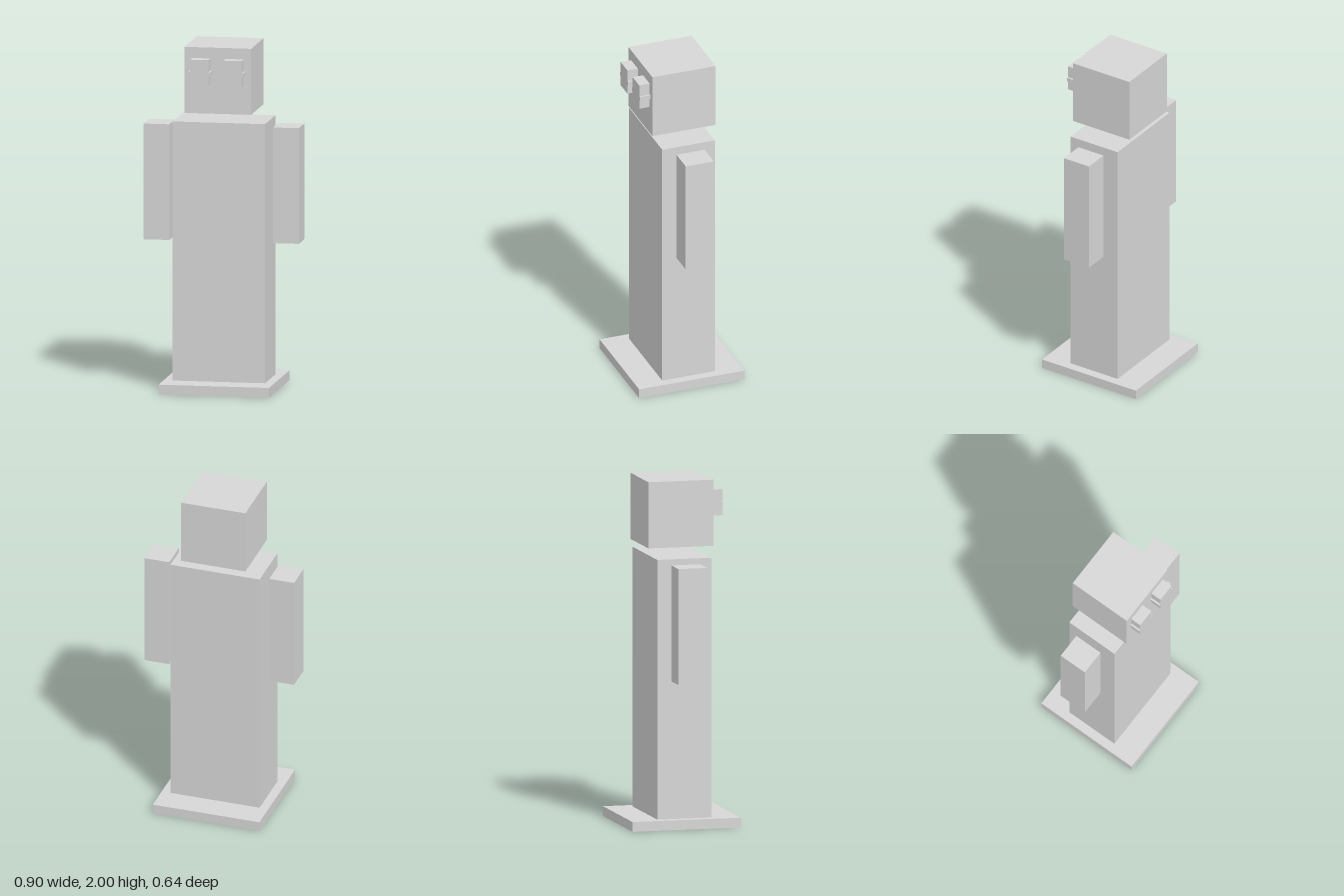
import * as THREE from 'three';

const grey = new THREE.MeshStandardMaterial({ color: 0xd6d6d6 });
grey.name = 'lightGrey';

// Axis-aligned block given by its min and max corners
function block(name, [x0, y0, z0], [x1, y1, z1]) {
  const mesh = new THREE.Mesh(new THREE.BoxGeometry(x1 - x0, y1 - y0, z1 - z0), grey);
  mesh.position.set((x0 + x1) / 2, (y0 + y1) / 2, (z0 + z1) / 2);
  mesh.name = name;
  return mesh;
}

export function createModel() {
  const model = new THREE.Group();
  model.name = 'blockFigure';

  // Base plate, torso and floating head
  model.add(
    block('base', [-0.322, 0, -0.322], [0.322, 0.057, 0.322]),
    block('torso', [-0.269, 0.057, -0.161], [0.269, 1.56, 0.161]),
    block('head', [-0.194, 1.617, -0.193], [0.194, 2, 0.193])
  );

  for (const [side, s] of [['left', 1], ['right', -1]]) {
    // Floating arms beside the torso
    const arm = block(side + 'Arm', [-0.075, 0.859, -0.086], [0.075, 1.53, 0.086]);
    arm.position.x = s * 0.377;

    // Protruding eyes with a narrow bar showing at both sides
    const eye = new THREE.Group();
    eye.name = side + 'Eye';
    eye.position.x = s * 0.097;
    eye.add(
      block('eyeBlock', [-0.054, 1.786, 0.18], [0.054, 1.937, 0.257]),
      block('eyeBar', [-0.065, 1.844, 0.18], [0.065, 1.867, 0.257])
    );
    model.add(arm, eye);
  }
  return model;
}
